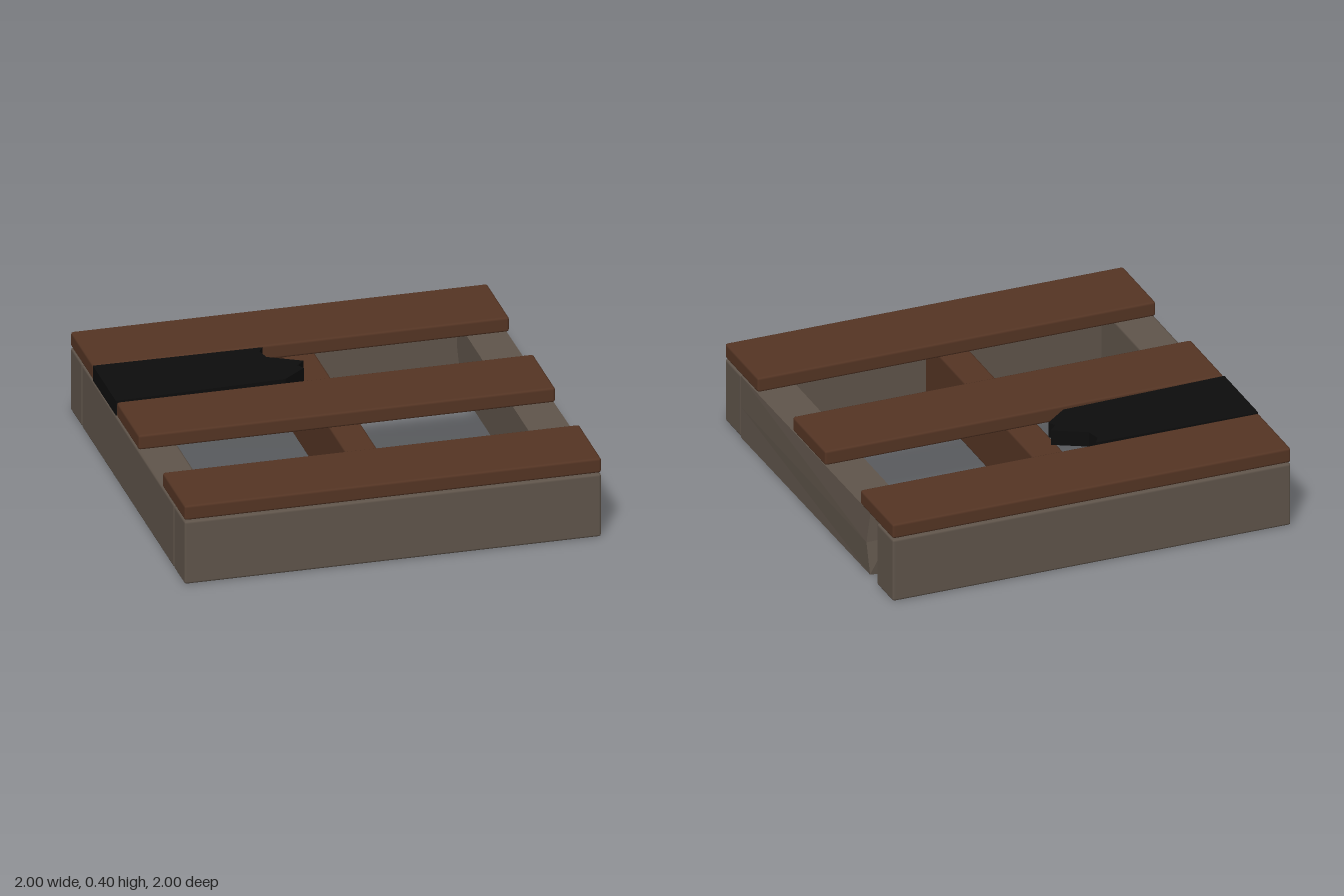
import * as THREE from 'three';
import { RoundedBoxGeometry } from 'three/addons/geometries/RoundedBoxGeometry.js';

const mat = (name, color) => {
  const m = new THREE.MeshStandardMaterial({ color });
  m.name = name;
  return m;
};

export function createModel() {
  const group = new THREE.Group();
  const grey = mat('weathered grey wood', 0x60554b);
  const brown = mat('brown wood', 0x553524);
  const black = mat('charred wood', 0x0d0d0d);

  const add = (name, geometry, material) => {
    const mesh = new THREE.Mesh(geometry, material);
    mesh.name = name;
    group.add(mesh);
  };
  // Bevelled timber given by its limits on each axis
  const timber = (name, material, [x0, x1], [y0, y1], [z0, z1]) => {
    const g = new RoundedBoxGeometry(x1 - x0, y1 - y0, z1 - z0, 1, 0.012);
    g.translate((x0 + x1) / 2, (y0 + y1) / 2, (z0 + z1) / 2);
    add(name, g, material);
  };

  // Lower frame
  timber('frontBeam', grey, [-1, 1], [0, 0.32], [0.81, 1]);
  timber('backBeam', grey, [-1, 1], [0, 0.32], [-1, -0.805]);
  timber('rightBeam', grey, [-1, -0.805], [0, 0.32], [-0.8, 0.805]);
  timber('centreBeam', brown, [-0.078, 0.075], [0, 0.32], [-0.803, 0.808]);

  // Deck planks
  timber('backPlank', brown, [-1, 1], [0.325, 0.4], [-1, -0.61]);
  timber('middlePlank', brown, [-1, 1], [0.325, 0.4], [-0.195, 0.195]);
  timber('frontPlank', brown, [-1, 1], [0.325, 0.4], [0.608, 1]);

  // Charred plank, snapped off to a jagged end
  const outline = [
    [-1, -0.607], [-0.19, -0.595], [-0.215, -0.555], [-0.2, -0.487], [-0.045, -0.402],
    [-0.085, -0.36], [-0.065, -0.325], [-0.18, -0.23], [-1, -0.205],
  ].map(([x, z]) => new THREE.Vector2(x, z));
  const burnt = new THREE.ExtrudeGeometry(new THREE.Shape(outline), { depth: 0.075, bevelEnabled: false });
  burnt.rotateX(Math.PI / 2).translate(0, 0.4, 0);
  add('charredPlank', burnt, black);

  // Side beam with a splintered back end: [x, y, z of the break], anticlockwise seen from the front
  const ring = [
    [0.8, 0, -0.71], [0.9, 0, -0.72], [0.99, 0, -0.705], [1, 0.16, -0.685],
    [0.99, 0.32, -0.71], [0.9, 0.32, -0.77], [0.8, 0.32, -0.79], [0.8, 0.19, -0.8],
  ];
  const pos = [];
  const tri = (...pts) => pts.forEach((p) => pos.push(...p));
  const atFront = ([x, y]) => [x > 0.98 ? 1 : x, y, 0.805];
  ring.forEach((a, i) => {
    const b = ring[(i + 1) % ring.length];
    const fa = atFront(a), fb = atFront(b);
    tri(a, fb, fa);
    tri(a, b, fb);
    tri(fa, fb, [0.9, 0.16, 0.805]);
    tri(b, a, [0.91, 0.2, -0.75]);
  });
  const broken = new THREE.BufferGeometry();
  broken.setAttribute('position', new THREE.Float32BufferAttribute(pos, 3));
  broken.computeVertexNormals();
  add('brokenLeftBeam', broken, grey);

  return group;
}
